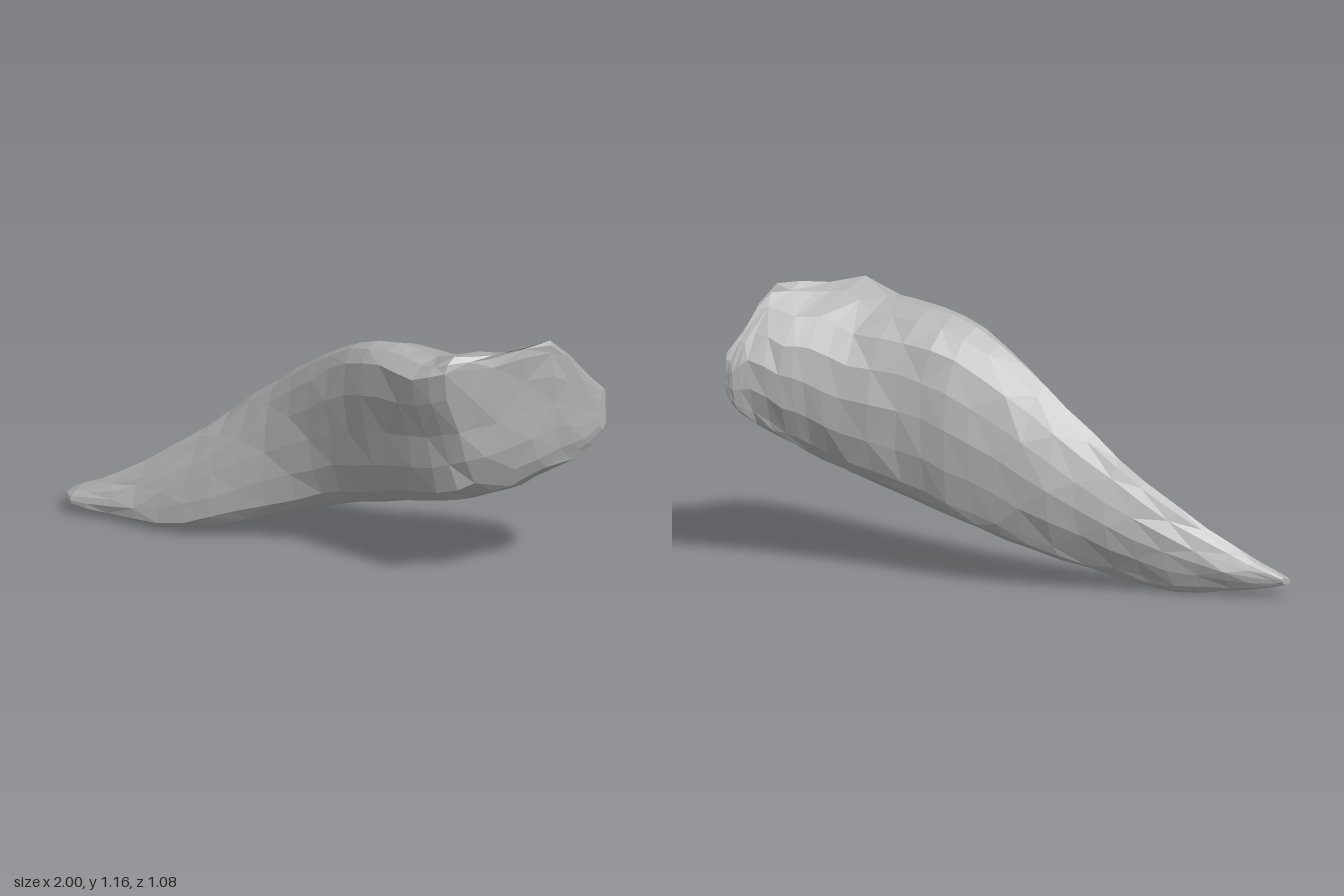
import * as THREE from 'three';

// Cross-sections along x: x, bottom y, top y, then z of
// crest, front edge, front middle, front low, back low, back middle, back upper
const SECTIONS = [
  [-1, 0.06, 0.09, 0.47, 0.49, 0.51, 0.51, 0.48, 0.46, 0.46],
  [-0.95, 0.045, 0.12, 0.46, 0.50, 0.53, 0.535, 0.45, 0.43, 0.43],
  [-0.8, 0.02, 0.20, 0.41, 0.44, 0.465, 0.47, 0.38, 0.34, 0.37],
  [-0.6, 0.005, 0.36, 0.295, 0.34, 0.38, 0.39, 0.28, 0.22, 0.24],
  [-0.4, 0.05, 0.545, 0.18, 0.245, 0.29, 0.30, 0.17, 0.08, 0.12],
  [-0.2, 0.125, 0.73, 0.115, 0.165, 0.19, 0.18, 0.03, -0.04, 0.03],
  [0, 0.20, 0.89, 0.08, 0.135, 0.13, 0.07, -0.08, -0.12, -0.04],
  [0.2, 0.265, 1.02, 0.05, 0.13, 0.11, 0.03, -0.145, -0.18, -0.10],
  [0.4, 0.33, 1.075, 0.01, 0.135, 0.09, 0.005, -0.19, -0.23, -0.16],
  [0.6, 0.395, 1.085, 0.0, 0.14, 0.05, -0.01, -0.26, -0.33, -0.22],
  [0.73, 0.455, 1.14, 0.03, 0.085, 0.01, -0.09, -0.32, -0.39, -0.27],
  [0.82, 0.515, 1.13, -0.10, -0.10, -0.13, -0.21, -0.37, -0.44, -0.34],
  [0.92, 0.605, 1.155, -0.32, -0.325, -0.34, -0.37, -0.45, -0.50, -0.38],
  [0.97, 0.66, 1.0, -0.45, -0.44, -0.45, -0.45, -0.51, -0.54, -0.49],
  [1, 0.73, 0.91, -0.53, -0.52, -0.51, -0.51, -0.53, -0.54, -0.54],
];
const AROUND = 16;

// One closed outline: crest, down the front, under, up the back
function sectionRing([x, y0, y1, crest, edge, mid, low, backLow, backMid, backUp]) {
  const p = (t, z) => new THREE.Vector3(x, y0 + (y1 - y0) * t, z);
  const edgeT = THREE.MathUtils.clamp(0.88 + x * 0.15, 0.68, 0.92);
  const outline = new THREE.CatmullRomCurve3([
    p(1, crest), p(edgeT, edge), p(0.5, mid), p(0.12, low),
    p(0, low + (backLow - low) * 0.75), p(0.1, backLow - 0.01), p(0.5, backMid), p(0.85, backUp),
  ], true);
  return outline.getPoints(AROUND).slice(0, AROUND);
}

function bodyGeometry() {
  const rings = SECTIONS.map(sectionRing);
  const steps = (SECTIONS.length - 1) * 2;
  // Smooth lines running from the tip to the broad end
  const lines = Array.from({ length: AROUND }, (_, j) =>
    new THREE.CatmullRomCurve3(rings.map((r) => r[j])));
  let seed = 7;
  const jitter = () => {
    seed = (seed * 16807) % 2147483647;
    return (seed / 2147483647 - 0.5) * 0.009;
  };
  const positions = [];
  const indices = [];
  for (let i = 0; i <= steps; i++) {
    const rough = i > 3 && i < steps - 3 ? 1 : 0;
    for (let j = 0; j < AROUND; j++) {
      const v = lines[j].getPoint(i / steps);
      positions.push(v.x + jitter() * 2 * rough, v.y + jitter() * rough, v.z + jitter() * rough);
    }
  }
  for (let i = 0; i < steps; i++) {
    for (let j = 0; j < AROUND; j++) {
      const k = (j + 1) % AROUND;
      const a = i * AROUND + j, b = i * AROUND + k, c = b + AROUND, d = a + AROUND;
      if ((i + j) % 2) indices.push(a, b, d, b, c, d);
      else indices.push(a, b, c, a, c, d);
    }
  }
  // Close both ends
  for (const [i, flip] of [[0, true], [steps, false]]) {
    const centre = new THREE.Vector3();
    for (let j = 0; j < AROUND; j++) centre.add(lines[j].getPoint(i / steps));
    centre.divideScalar(AROUND);
    const hub = positions.length / 3;
    positions.push(centre.x, centre.y, centre.z);
    for (let j = 0; j < AROUND; j++) {
      const a = i * AROUND + j, b = i * AROUND + ((j + 1) % AROUND);
      indices.push(hub, flip ? b : a, flip ? a : b);
    }
  }
  const geometry = new THREE.BufferGeometry();
  geometry.setAttribute('position', new THREE.Float32BufferAttribute(positions, 3));
  geometry.setIndex(indices);
  const faceted = geometry.toNonIndexed();
  faceted.computeVertexNormals();
  return faceted;
}

export function createModel() {
  const stone = new THREE.MeshStandardMaterial({ color: 0xb4b4b4, flatShading: true });
  stone.name = 'stone grey';
  const body = new THREE.Mesh(bodyGeometry(), stone);
  body.name = 'taperedSlab';
  const group = new THREE.Group();
  group.name = 'rockShard';
  group.add(body);
  return group;
}
